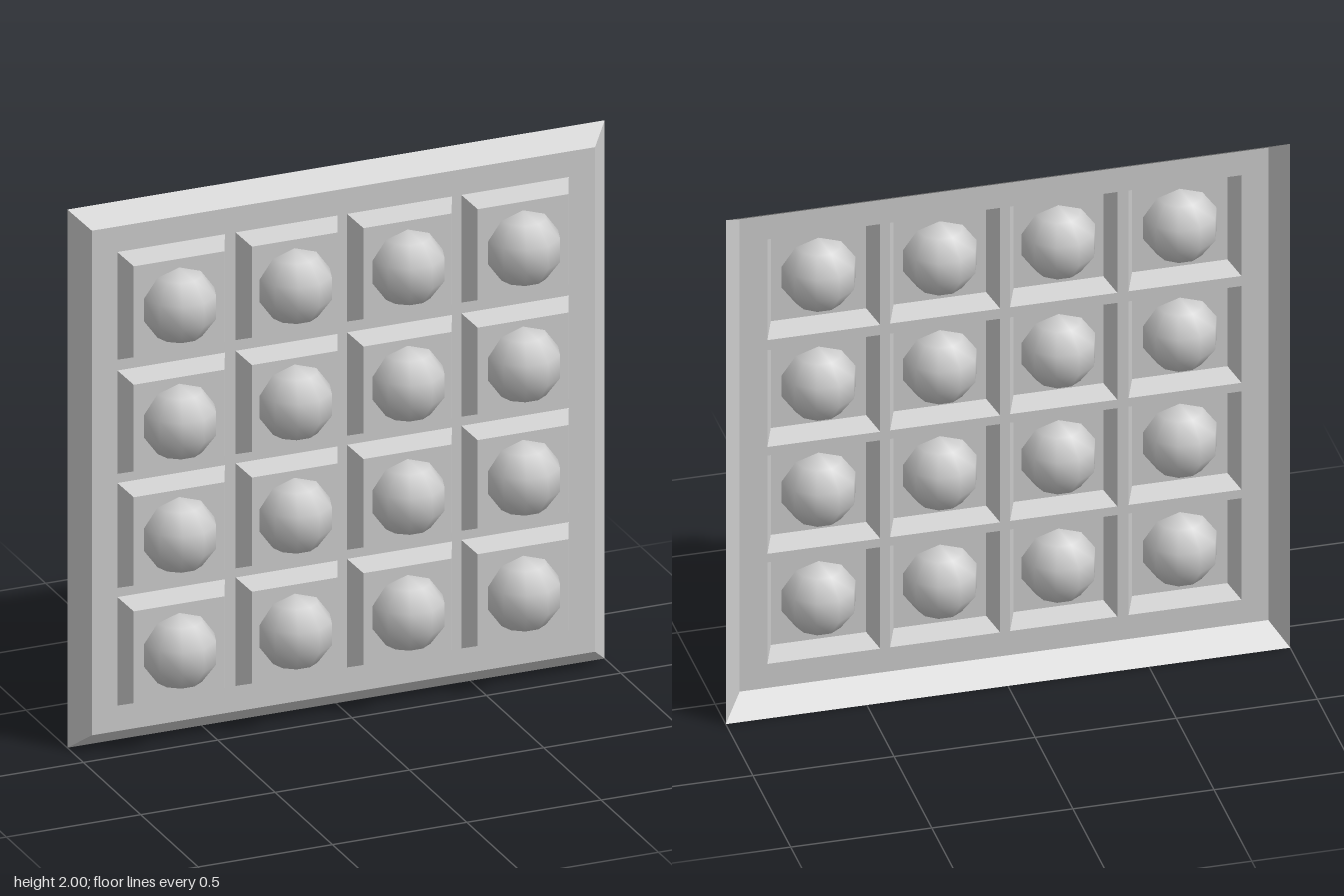
import * as THREE from 'three';

const material = new THREE.MeshStandardMaterial({ color: 0xcccccc, side: THREE.DoubleSide });

const BACK_Z = -0.14, PLATE_Z = -0.055, CELL_Z = 0.015;
const COLUMNS = [[-0.85, -0.45], [-0.41, -0.03], [0.005, 0.395], [0.43, 0.83]];
const ROWS = [[0.165, 0.568], [0.602, 0.992], [1.026, 1.41], [1.45, 1.85]];
const BEVEL = 0.031;

// Counter-clockwise corners of a rectangle [x0, x1, y0, y1]
const corners = ([x0, x1, y0, y1]) => [[x0, y0], [x1, y0], [x1, y1], [x0, y1]];

// Four sloping walls between a rear and a front rectangle
function slopedWalls(rear, rearZ, front, frontZ) {
  const a = corners(rear), b = corners(front), positions = [];
  for (let i = 0; i < 4; i++) {
    const j = (i + 1) % 4;
    const r0 = [...a[i], rearZ], r1 = [...a[j], rearZ];
    const f0 = [...b[i], frontZ], f1 = [...b[j], frontZ];
    positions.push(...r0, ...r1, ...f1, ...r0, ...f1, ...f0);
  }
  const geometry = new THREE.BufferGeometry();
  geometry.setAttribute('position', new THREE.Float32BufferAttribute(positions, 3));
  geometry.computeVertexNormals();
  return geometry;
}

// Flat sheet with rectangular openings
function sheet(rect, z, holes = []) {
  const toPoints = (r) => corners(r).map(([x, y]) => new THREE.Vector2(x, y));
  const shape = new THREE.Shape(toPoints(rect));
  holes.forEach((h) => shape.holes.push(new THREE.Path(toPoints(h).reverse())));
  return new THREE.ShapeGeometry(shape).translate(0, 0, z);
}

function add(parent, name, geometry) {
  const mesh = new THREE.Mesh(geometry, material);
  mesh.name = name;
  parent.add(mesh);
  return mesh;
}

export function createModel() {
  const model = new THREE.Group();
  model.name = 'studdedPanel';

  // Backless tray: sloping rim and a front sheet open behind each cell
  const cells = ROWS.flatMap(([y0, y1]) => COLUMNS.map(([x0, x1]) => [x0, x1, y0, y1]));
  const plate = [-0.945, 0.928, 0.07, 1.945];
  add(model, 'panelRim', slopedWalls([-1, 1, 0, 2], BACK_Z, plate, PLATE_Z));
  add(model, 'panelFace', sheet(plate, PLATE_Z, cells));

  // Raised hollow cells, each with a faceted-outline ball set in its face
  const ballGeometry = new THREE.SphereGeometry(0.137, 10, 5);
  for (const cell of cells) {
    const [x0, x1, y0, y1] = cell;
    const front = [x0 + BEVEL, x1 - BEVEL, y0 + BEVEL, y1 - BEVEL];
    const group = new THREE.Group();
    group.name = 'cell';
    add(group, 'cellWalls', slopedWalls(cell, PLATE_Z, front, CELL_Z));
    add(group, 'cellFace', sheet(front, CELL_Z));
    add(group, 'ball', ballGeometry).position.set((x0 + x1) / 2, (y0 + y1) / 2, CELL_Z);
    model.add(group);
  }
  return model;
}
